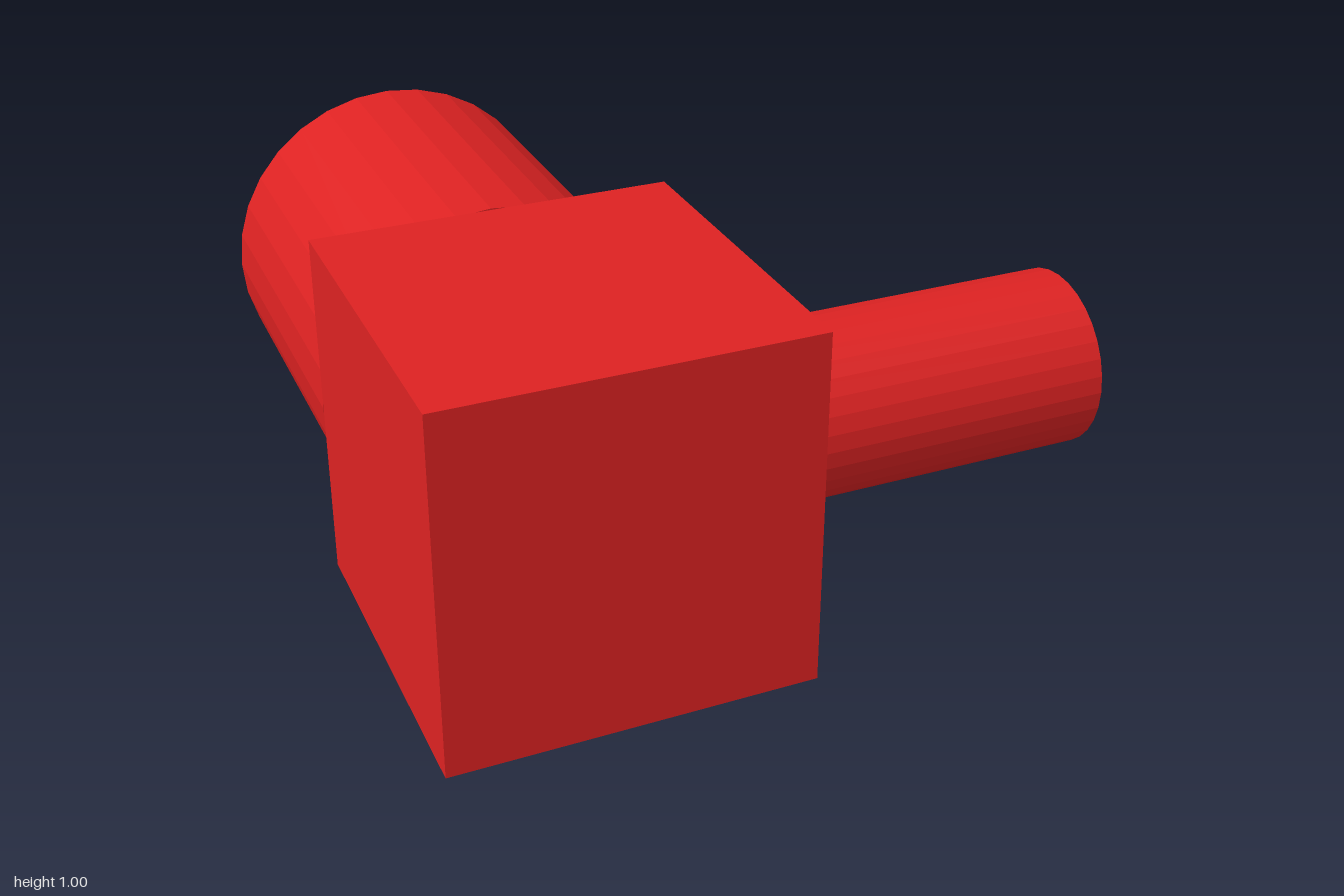
import * as THREE from 'three';

export function createModel() {
  const model = new THREE.Group();
  const material = new THREE.MeshStandardMaterial({ color: 0xdd2222, flatShading: true });

  const size = 0.995;      // edge of the cube, also diameter and length of the back cylinder
  const gap = 0.005;       // half of the slit between cube and back cylinder
  const mid = size / 2;
  const centreX = -0.49;

  function add(name, geometry, x, y, z) {
    const mesh = new THREE.Mesh(geometry, material);
    mesh.name = name;
    mesh.position.set(x, y, z);
    model.add(mesh);
  }

  // Front cube
  add('cube', new THREE.BoxGeometry(size, size, size), centreX, mid, gap + mid);

  // Wide cylinder behind the cube, lying along z
  const wide = new THREE.CylinderGeometry(mid, mid, size, 32).rotateX(Math.PI / 2);
  add('backCylinder', wide, centreX, mid, -gap - mid);

  // Narrow cylinder out of the cube's left side, slightly sunk into it
  const narrow = new THREE.CylinderGeometry(mid / 2, mid / 2, size, 32).rotateZ(Math.PI / 2);
  add('sideCylinder', narrow, 0.985 - mid, mid, gap + mid);

  return model;
}
